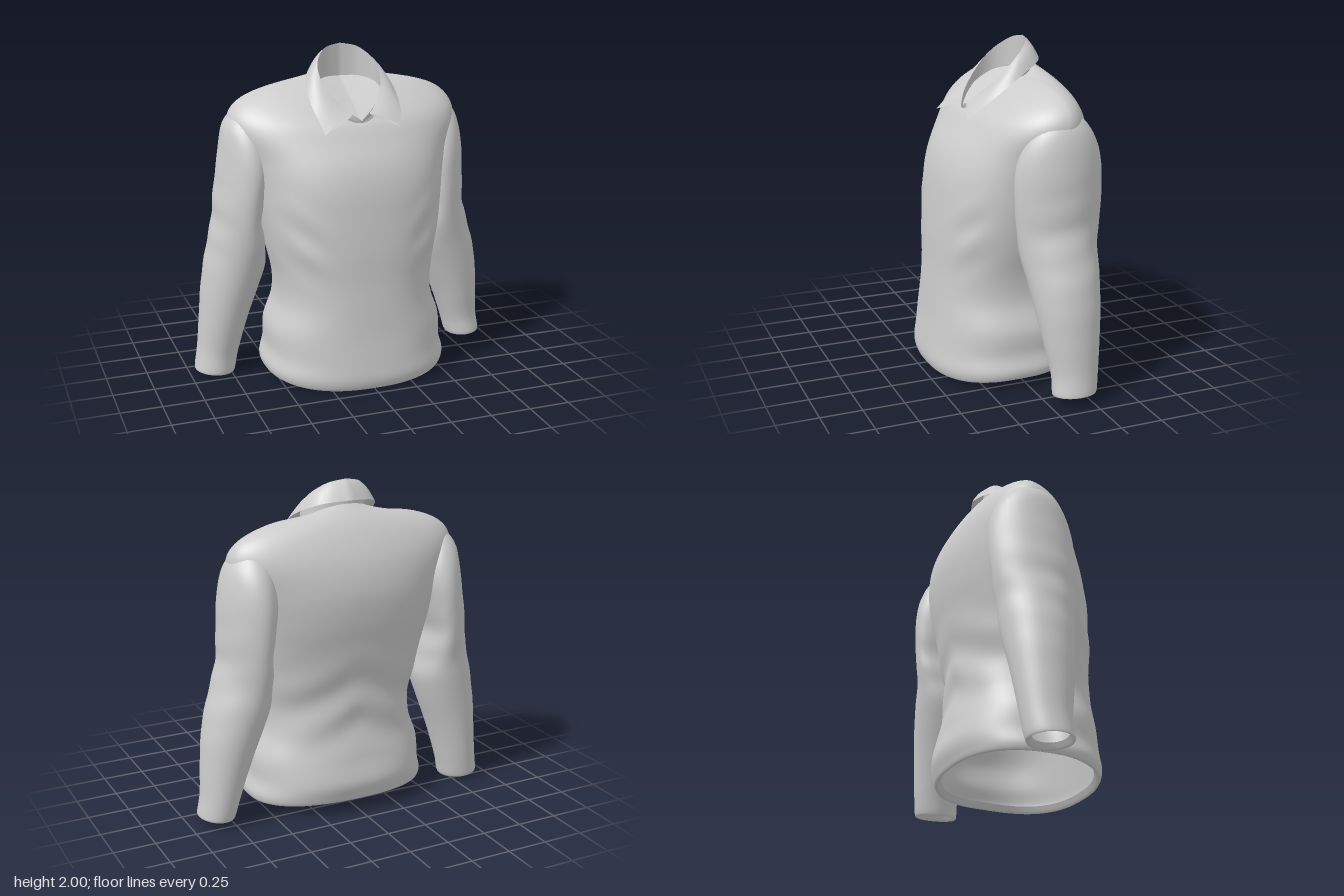
import * as THREE from 'three';

const mat = new THREE.MeshStandardMaterial({ color: 0xcccccc, side: THREE.DoubleSide });

// Smooth interpolation through a table of rows, t in 0..1
function sample(rows, t) {
  const f = t * (rows.length - 1);
  const i = Math.min(Math.floor(f), rows.length - 2);
  const u = f - i;
  const at = k => rows[Math.max(0, Math.min(rows.length - 1, k))];
  const a = at(i - 1), b = at(i), c = at(i + 1), d = at(i + 2);
  return b.map((p, k) => p + 0.5 * u * (c[k] - a[k]
    + u * (2 * a[k] - 5 * p + 4 * c[k] - d[k] + u * (3 * (p - c[k]) + d[k] - a[k]))));
}

// Skin a grid of points point(u, v); closed joins the last column to the first
function surface(name, nu, nv, closed, point) {
  const pos = [], idx = [], cols = closed ? nu : nu + 1;
  for (let j = 0; j <= nv; j++)
    for (let i = 0; i < cols; i++) pos.push(...point(i / nu, j / nv));
  for (let j = 0; j < nv; j++)
    for (let i = 0; i < nu; i++) {
      const a = j * cols + i, b = j * cols + (i + 1) % cols;
      idx.push(a, a + cols, b, b, a + cols, b + cols);
    }
  const g = new THREE.BufferGeometry();
  g.setAttribute('position', new THREE.Float32BufferAttribute(pos, 3));
  g.setIndex(idx);
  g.computeVertexNormals();
  const mesh = new THREE.Mesh(g, mat);
  mesh.name = name;
  return mesh;
}

const power = (v, p) => Math.sign(v) * Math.abs(v) ** p;
const bump = (v, centre, width) => Math.exp(-(((v - centre) / width) ** 2));

// Torso rings: half width, side z, front z, back z, side y, front y, back y
const torsoRows = [
  [0.53, 0, 0.42, -0.37, 0.10, 0.05, 0.12],
  [0.56, 0, 0.445, -0.40, 0.06, 0.01, 0.085],
  [0.575, 0, 0.465, -0.42, 0.11, 0.07, 0.12],
  [0.55, 0, 0.455, -0.44, 0.20, 0.18, 0.21],
  [0.545, 0, 0.437, -0.41, 0.34, 0.33, 0.35],
  [0.49, 0, 0.425, -0.385, 0.50, 0.50, 0.50],
  [0.49, 0, 0.415, -0.375, 0.66, 0.66, 0.66],
  [0.53, -0.02, 0.41, -0.395, 0.85, 0.85, 0.85],
  [0.565, -0.05, 0.395, -0.43, 1.05, 1.05, 1.05],
  [0.595, -0.10, 0.375, -0.46, 1.22, 1.22, 1.22],
  [0.645, -0.14, 0.335, -0.47, 1.38, 1.36, 1.39],
  [0.72, -0.16, 0.255, -0.44, 1.56, 1.50, 1.55],
  [0.655, -0.17, 0.22, -0.38, 1.69, 1.555, 1.68],
  [0.46, -0.15, 0.205, -0.31, 1.77, 1.575, 1.78],
  [0.20, -0.10, 0.195, -0.22, 1.79, 1.585, 1.86],
];

function torsoPoint(u, v) {
  const [w, zc, zf, zb, ys, yf, yb] = sample(torsoRows, v);
  const a = -u * Math.PI * 2, c = Math.cos(a), s = Math.sin(a);
  const e = 2 / (2.4 - 0.4 * THREE.MathUtils.smoothstep(v, 0.6, 0.8));
  const x = w * power(c, e);
  let z = zc + (s > 0 ? zf - zc : zc - zb) * power(s, e);
  const y = ys + ((s > 0 ? yf : yb) - ys) * Math.abs(s) ** 1.3;
  // Soft cloth folds: slanting across the back, drag lines below the armpits
  if (s < 0) z += s * 0.012 * bump(y, 0.68, 0.25) * Math.sin(20 * (y + 0.5 * Math.abs(x)));
  else z += s * 0.014 * bump(Math.abs(x), 0.42, 0.12) * bump(y, 0.9, 0.22) * Math.sin(26 * (y - 0.8 * Math.abs(x)));
  return [x, y, z];
}

// Sleeve rings: outer x, outer y, inner x, inner y, front z, back z
const sleeveRows = [
  [0.50, 1.63, 0.46, 1.36, -0.05, -0.28],
  [0.62, 1.66, 0.47, 1.26, 0.03, -0.36],
  [0.71, 1.59, 0.49, 1.17, 0.085, -0.405],
  [0.757, 1.47, 0.51, 1.08, 0.11, -0.42],
  [0.78, 1.28, 0.515, 0.98, 0.11, -0.415],
  [0.785, 1.09, 0.505, 0.87, 0.10, -0.40],
  [0.80, 0.95, 0.50, 0.76, 0.085, -0.38],
  [0.85, 0.80, 0.525, 0.64, 0.06, -0.37],
  [0.90, 0.60, 0.595, 0.46, 0.03, -0.35],
  [0.92, 0.40, 0.655, 0.30, 0.00, -0.33],
  [0.932, 0.20, 0.705, 0.15, -0.03, -0.31],
  [0.95, 0.07, 0.735, 0.045, -0.03, -0.29],
  [0.925, 0.10, 0.76, 0.08, -0.06, -0.26],
];

function sleevePoint(side, u, v) {
  const [xo, yo, xi, yi, zf, zb] = sample(sleeveRows, v);
  const a = u * Math.PI * 2 * side, s = Math.sin(a);
  // The upper arm is fullest on the side towards the chest
  const c = Math.cos(a) - 0.35 * s * s * bump(v, 0.25, 0.25);
  let x = (xo + xi) / 2 + c * (xo - xi) / 2;
  let y = (yo + yi) / 2 + Math.cos(a) * (yo - yi) / 2;
  const z = (zf + zb) / 2 + s * (zf - zb) / 2;
  // Creases around the elbow
  x += c * 0.005 * bump(y, 0.95, 0.3) * Math.sin(30 * y + 5 * z);
  // The right arm hangs a little wider and lower
  if (side < 0) {
    x += 0.035 * bump(y, 1.0, 0.25) + 0.015 * bump(y, 1.6, 0.12) + c * 0.015 * bump(y, 0, 0.3);
    y -= 0.04 * bump(y, 0, 0.4);
  }
  return [side * x, y, z];
}

// Collar columns from back to front: stand bottom, fold line, outer edge
const standBottom = [[0, 1.80, -0.20], [0.11, 1.80, -0.165], [0.19, 1.77, -0.07], [0.18, 1.70, 0.05], [0.10, 1.63, 0.14], [0, 1.585, 0.195]];
const foldLine = [[0, 2.0, -0.19], [0.11, 1.975, -0.16], [0.185, 1.89, -0.06], [0.172, 1.775, 0.05], [0.105, 1.68, 0.14], [0.05, 1.638, 0.19]];
const standTop = [...foldLine.slice(0, 5), [0, 1.60, 0.205]];
const outerEdge = [[0, 1.89, -0.28], [0.17, 1.868, -0.215], [0.26, 1.795, -0.06], [0.272, 1.70, 0.08], [0.255, 1.625, 0.18], [0.225, 1.562, 0.25]];
const neckCentre = standBottom.map(() => [0, 1.70, 0]);

// Mirror half columns: u runs from one front end round the back to the other
function collarColumn(rows, u) {
  const p = sample(rows, Math.abs(2 * u - 1));
  return [u < 0.5 ? -p[0] : p[0], p[1], p[2]];
}

// Band between two collar columns; tip lengthens the right collar point
function strip(name, low, high, bulge, tip) {
  return surface(name, 48, 8, false, (u, v) => {
    const a = collarColumn(low, u), b = collarColumn(high, u);
    const p = a.map((q, k) => q + (b[k] - q) * v);
    p[1] += bulge * Math.sin(Math.PI * v);
    const k = u < 0.5 ? tip * v * (1 - 2 * u) ** 6 : 0;
    return [p[0] - k, p[1] - 0.8 * k, p[2] + 0.8 * k];
  });
}

export function createModel() {
  const shirt = new THREE.Group();
  shirt.name = 'shirt';
  shirt.add(surface('torso', 96, 100, true, torsoPoint));
  shirt.add(surface('leftSleeve', 40, 72, true, (u, v) => sleevePoint(1, u, v)));
  shirt.add(surface('rightSleeve', 40, 72, true, (u, v) => sleevePoint(-1, u, v)));

  // Collar: upright stand, turned-down leaf with its underside, closed neck
  const collar = new THREE.Group();
  collar.name = 'collar';
  collar.add(
    strip('collarStand', standBottom, standTop, 0, 0),
    strip('collarLeaf', foldLine, outerEdge, 0.015, 0.025),
    strip('collarUnderside', foldLine, outerEdge, -0.008, 0.025),
    strip('neckPanel', standBottom, neckCentre, 0, 0));
  shirt.add(collar);
  return shirt;
}
